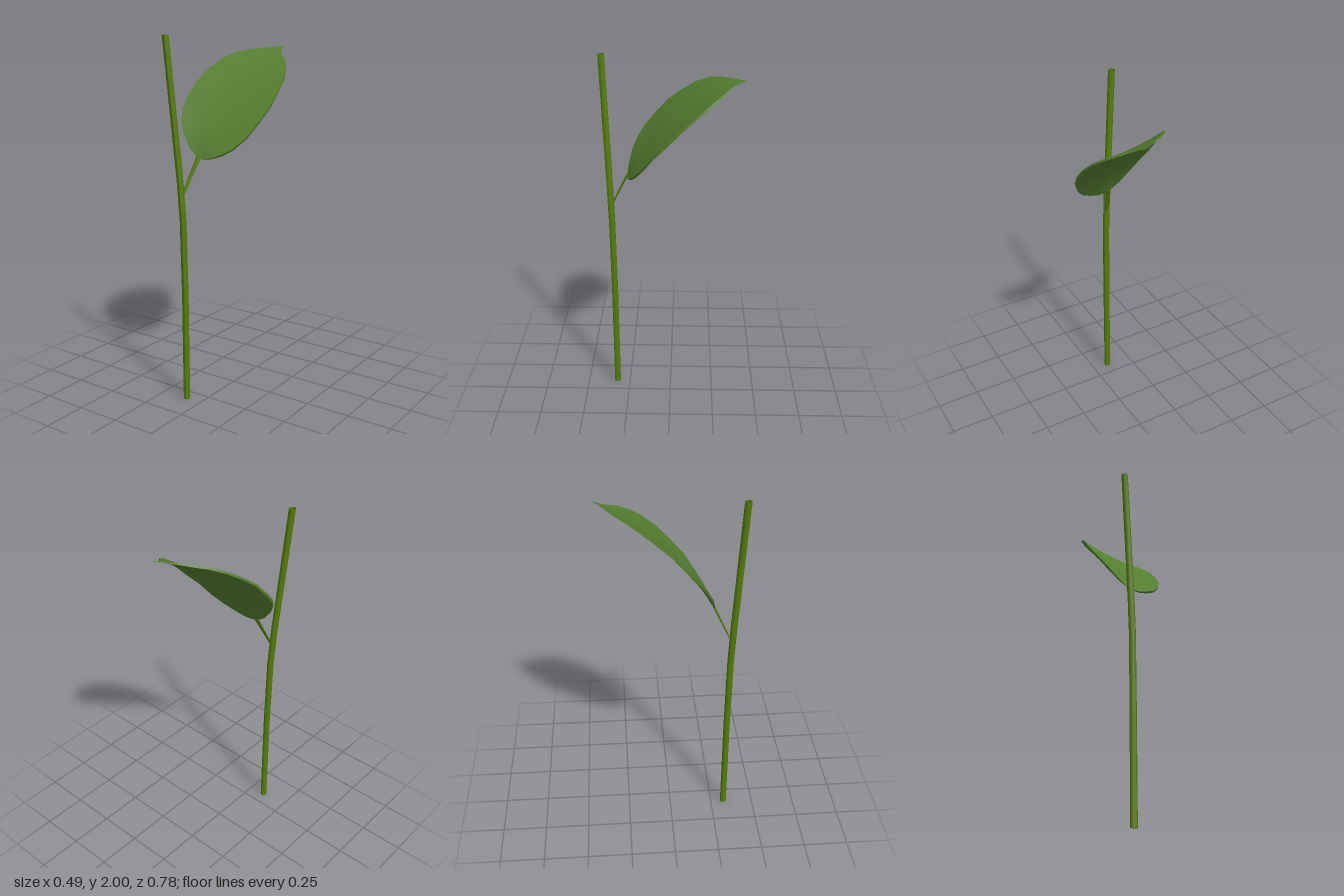
import * as THREE from 'three';

const stemGreen = new THREE.MeshStandardMaterial({ color: 0x567d0c, side: THREE.DoubleSide });
stemGreen.name = 'stem green';
const leafGreen = new THREE.MeshStandardMaterial({ color: 0x557e2f, side: THREE.DoubleSide });
leafGreen.name = 'leaf green';

const vec = (p) => new THREE.Vector3(...p);

// Leaf margins from base to tip, paired row by row
const base = [-0.065, 1.355, 0.238];
const tip = [0.08, 1.922, -0.387];
const leftEdge = [
  base, [-0.127, 1.405, 0.228], [-0.182, 1.474, 0.207], [-0.217, 1.535, 0.178],
  [-0.24, 1.595, 0.137], [-0.246, 1.66, 0.081], [-0.234, 1.738, 0.011],
  [-0.211, 1.802, -0.069], [-0.178, 1.853, -0.145], [-0.127, 1.886, -0.213],
  [-0.069, 1.902, -0.271], [-0.003, 1.911, -0.32], [0.053, 1.918, -0.364], tip,
].map(vec);
const rightEdge = [
  base, [0, 1.358, 0.228], [0.061, 1.379, 0.213], [0.123, 1.415, 0.185],
  [0.176, 1.472, 0.141], [0.215, 1.548, 0.086], [0.24, 1.625, 0.013],
  [0.243, 1.7, -0.059], [0.232, 1.77, -0.141], [0.199, 1.82, -0.209],
  [0.152, 1.86, -0.269], [0.1, 1.889, -0.316], [0.084, 1.906, -0.35], tip,
].map(vec);

// Smooth sheet stretched over rows of points
function skin(rows) {
  const n = rows[0].length, idx = [];
  for (let r = 0; r < rows.length - 1; r++) {
    for (let c = 0; c < n - 1; c++) {
      const i = r * n + c, j = i + n;
      idx.push(i, i + 1, j + 1, i, j + 1, j);
    }
  }
  const geo = new THREE.BufferGeometry().setFromPoints(rows.flat());
  geo.setIndex(idx);
  geo.computeVertexNormals();
  return geo;
}

// One face of the blade: slightly cupped across, raised or lowered by half the thickness
function bladeRows(offset) {
  const cols = 8, up = new THREE.Vector3(0, 0.65, 0.76);
  return leftEdge.map((a, r) => {
    const b = rightEdge[r], width = a.distanceTo(b);
    const half = offset * Math.min(1, width / 0.2);
    return Array.from({ length: cols + 1 }, (_, c) => {
      const t = c / cols;
      return a.clone().lerp(b, t).addScaledVector(up, half - 0.14 * width * t * (1 - t));
    });
  });
}

// Rings of points around a list of stem centres
function stemRows(points, radius, sides) {
  return points.map(([x, y, z]) => Array.from({ length: sides + 1 }, (_, s) => {
    const a = ((s + 0.5) / sides) * Math.PI * 2;
    return new THREE.Vector3(x + Math.sin(a) * radius, y, z + Math.cos(a) * radius);
  }));
}

export function createModel() {
  const model = new THREE.Group();
  model.name = 'leafySprig';
  const add = (geo, mat, name) => {
    const mesh = new THREE.Mesh(geo, mat);
    mesh.name = name;
    model.add(mesh);
    return mesh;
  };

  // Main stem: a cut hollow stalk, upright below and leaning out above the leaf joint
  const path = [
    [-0.095, 0, 0.325], [-0.095, 0.6, 0.326], [-0.099, 1.03, 0.331],
    [-0.11, 1.25, 0.338], [-0.164, 2, 0.371],
  ];
  add(skin(stemRows(path, 0.0185, 8)), stemGreen, 'stem');

  // Flattened leaf stalk, widening towards the blade
  const from = vec([-0.1, 1.17, 0.328]), to = vec([-0.065, 1.365, 0.234]);
  const dir = to.clone().sub(from);
  const stalkGeo = new THREE.CylinderGeometry(0.016, 0.009, dir.length(), 8);
  stalkGeo.scale(1, 1, 0.4);
  const stalk = add(stalkGeo, stemGreen, 'leafStalk');
  stalk.position.copy(from).lerp(to, 0.5);
  stalk.quaternion.setFromUnitVectors(new THREE.Vector3(0, 1, 0), dir.normalize());

  // Broad pointed blade: upper face, underside and the thin rims joining them
  const upper = bladeRows(0.006), lower = bladeRows(-0.006);
  add(skin(upper), leafGreen, 'leafUpperFace');
  add(skin(lower.map((row) => [...row].reverse())), leafGreen, 'leafUnderside');
  add(skin(upper.map((row, r) => [lower[r][0], row[0]])), leafGreen, 'leafRightRim');
  add(skin(upper.map((row, r) => [row.at(-1), lower[r].at(-1)])), leafGreen, 'leafLeftRim');
  return model;
}
